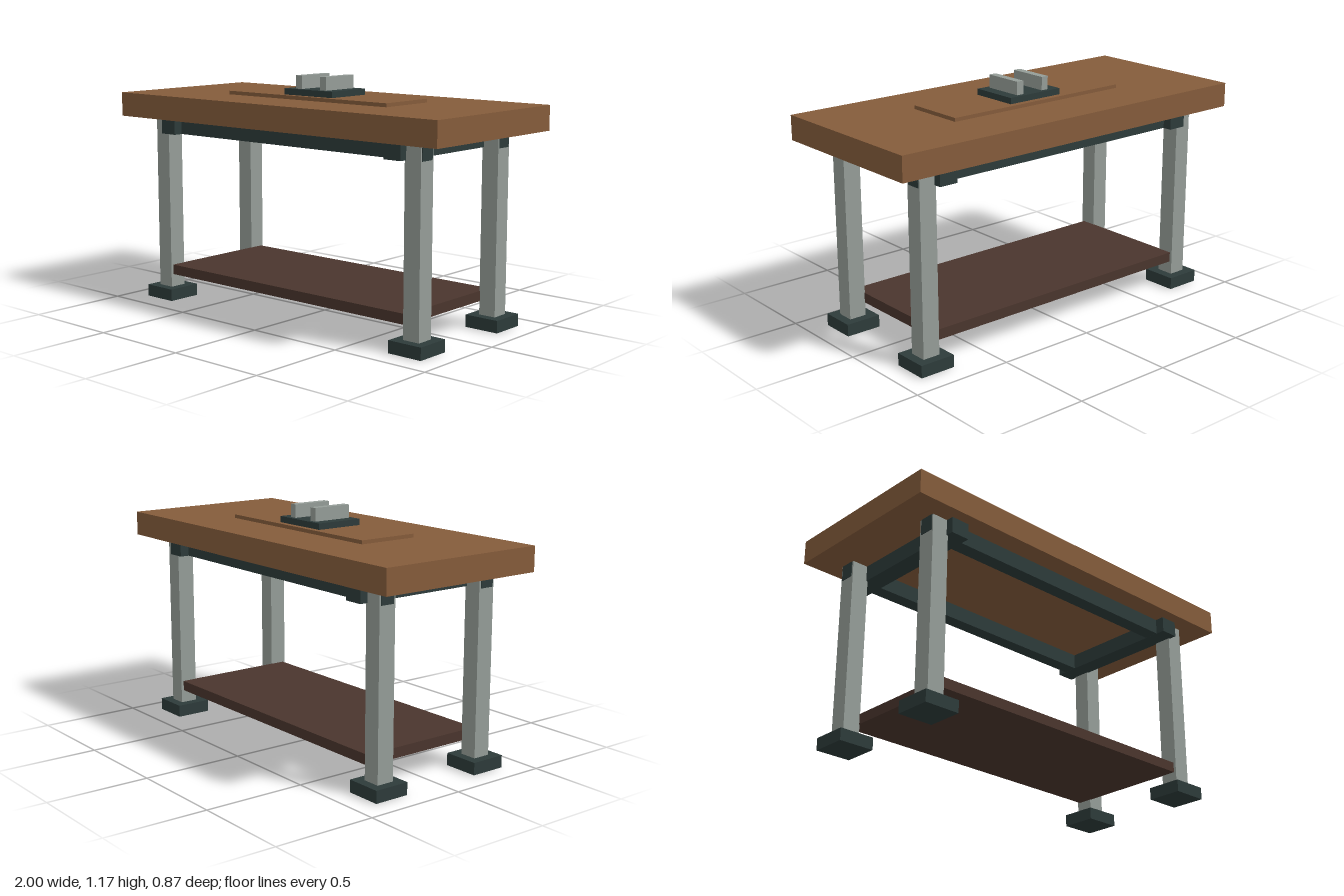
import * as THREE from 'three';

const material = (name, color) => {
  const m = new THREE.MeshStandardMaterial({ color });
  m.name = name;
  return m;
};

export function createModel() {
  const wood = material('warm wood', 0x855c3b);
  const darkWood = material('dark wood', 0x4a352d);
  const steel = material('grey steel', 0x959d98);
  const iron = material('dark iron', 0x2d3b3a);

  const table = new THREE.Group();
  table.name = 'workbench';

  // Box given by its centre in x and z, its size, and its bottom and top heights
  const box = (name, mat, x, z, width, depth, bottom, top) => {
    const mesh = new THREE.Mesh(new THREE.BoxGeometry(width, top - bottom, depth), mat);
    mesh.name = name;
    mesh.position.set(x, (bottom + top) / 2, z);
    table.add(mesh);
  };

  // Worktop with a raised panel and a clamp base
  box('tabletop', wood, 0, 0, 2, 0.87, 0.94, 1.06);
  box('raisedPanel', wood, 0, 0, 1.01, 0.306, 1.06, 1.078);
  box('clampBase', iron, 0, 0, 0.306, 0.246, 1.078, 1.108);

  // Lower shelf between the legs
  box('shelf', darkWood, 0, 0, 1.518, 0.65, 0.125, 0.175);

  for (const side of [-1, 1]) {
    box('clampJaw', steel, side * 0.077, 0, 0.038, 0.204, 1.108, 1.173);

    // Frame under the top: long rails pass through the legs, cross rails overhang
    box('longRail', iron, 0, side * 0.295, 1.696, 0.072, 0.862, 0.94);
    box('crossRail', iron, side * 0.717, 0, 0.095, 0.754, 0.8615, 0.94);

    // Legs and feet
    for (const end of [-1, 1]) {
      box('leg', steel, side * 0.801, end * 0.294, 0.088, 0.088, 0.06, 0.94);
      box('foot', iron, side * 0.8, end * 0.294, 0.18, 0.178, 0, 0.06);
    }
  }
  return table;
}
